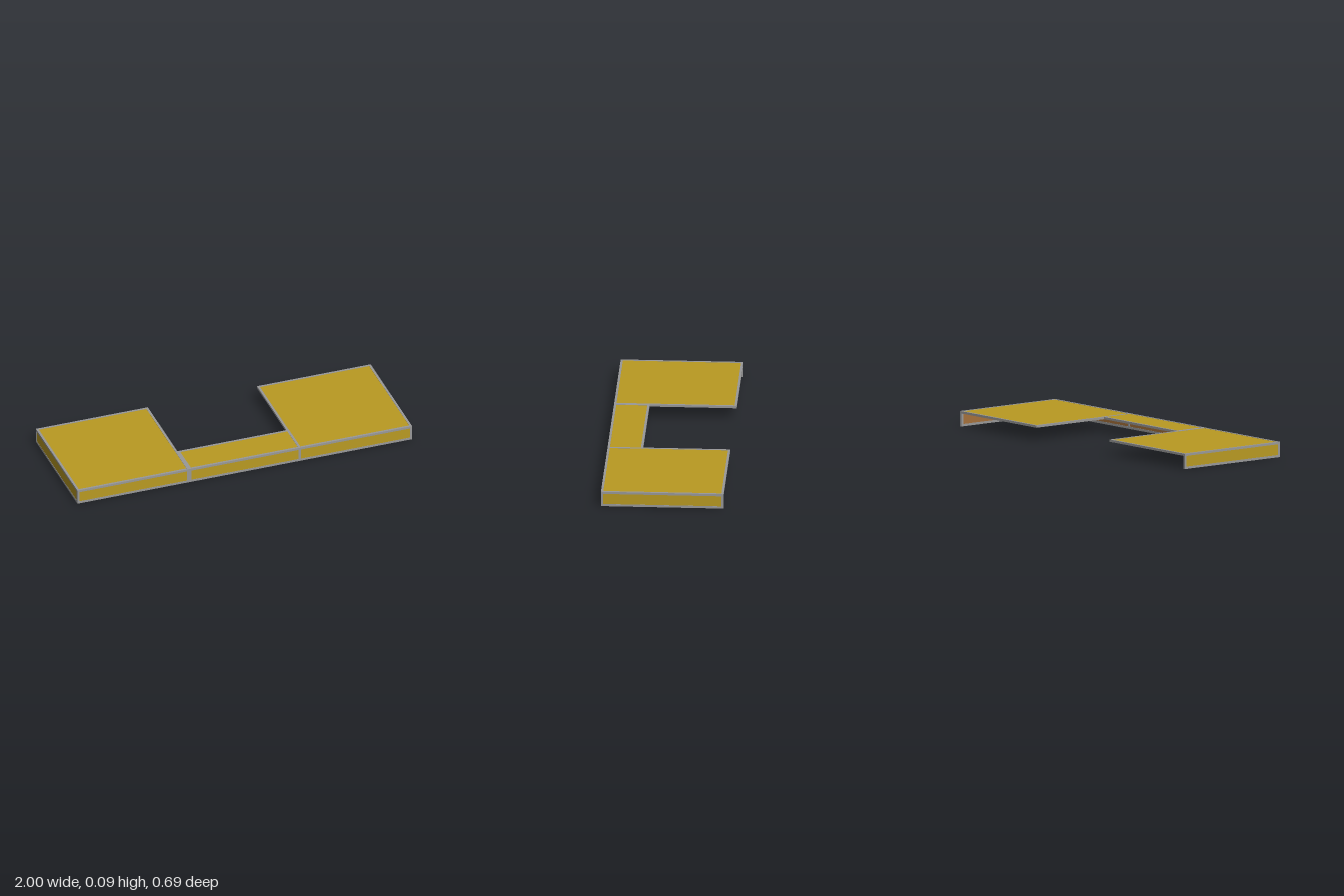
import * as THREE from 'three';

const BAR = 0.013, H = 0.087, Z = 0.345;

export function createModel() {
  const material = (name, color) => new THREE.MeshStandardMaterial({ name, color });
  const gold = material('goldOuterFace', 0xb99a22);
  const brown = material('brownInnerFace', 0xa5703a);
  const grey = material('greyFrame', 0x999999);
  const model = new THREE.Group();
  model.name = 'screenAssembly';

  const rectangle = (Type, w, h) => new Type([
    new THREE.Vector2(-w / 2, -h / 2), new THREE.Vector2(w / 2, -h / 2),
    new THREE.Vector2(w / 2, h / 2), new THREE.Vector2(-w / 2, h / 2)]);

  // Framed sheet whose outer face lies on local z = 0
  function framedPanel(name, w, h, position, rx = 0, ry = 0) {
    const panel = new THREE.Group();
    panel.name = name;
    const outline = rectangle(THREE.Shape, w, h);
    outline.holes.push(rectangle(THREE.Path, w - 2 * BAR, h - 2 * BAR));
    const frameGeometry = new THREE.ExtrudeGeometry(outline, { depth: BAR, bevelEnabled: false });
    const frame = new THREE.Mesh(frameGeometry.translate(0, 0, -BAR), grey);
    frame.name = 'frame';
    panel.add(frame);

    // Gold sheet outside, brown lining inside
    for (const [part, mat, z] of [['outerSheet', gold, -0.004], ['innerLining', brown, -0.009]]) {
      const sheet = new THREE.Mesh(new THREE.BoxGeometry(w - 2 * BAR, h - 2 * BAR, 0.005), mat);
      sheet.name = part;
      sheet.position.z = z;
      panel.add(sheet);
    }
    panel.position.set(...position);
    panel.rotation.set(rx, ry, 0);
    model.add(panel);
  }

  // Three sections: a top and a front apron each
  const sections = [
    ['right', -1, -0.331, -Z],
    ['middle', -0.331, 0.336, 0.145],
    ['left', 0.321, 1, -Z],
  ];
  for (const [name, x0, x1, back] of sections) {
    const x = (x0 + x1) / 2, w = x1 - x0;
    framedPanel(name + 'Top', w, Z - back, [x, H, (Z + back) / 2], -Math.PI / 2);
    framedPanel(name + 'FrontApron', w, H, [x, H / 2, Z]);
  }

  // End aprons
  for (const side of [-1, 1]) {
    framedPanel(side > 0 ? 'leftEndApron' : 'rightEndApron', 2 * Z, H,
      [side, H / 2, 0], 0, side * Math.PI / 2);
  }
  return model;
}
